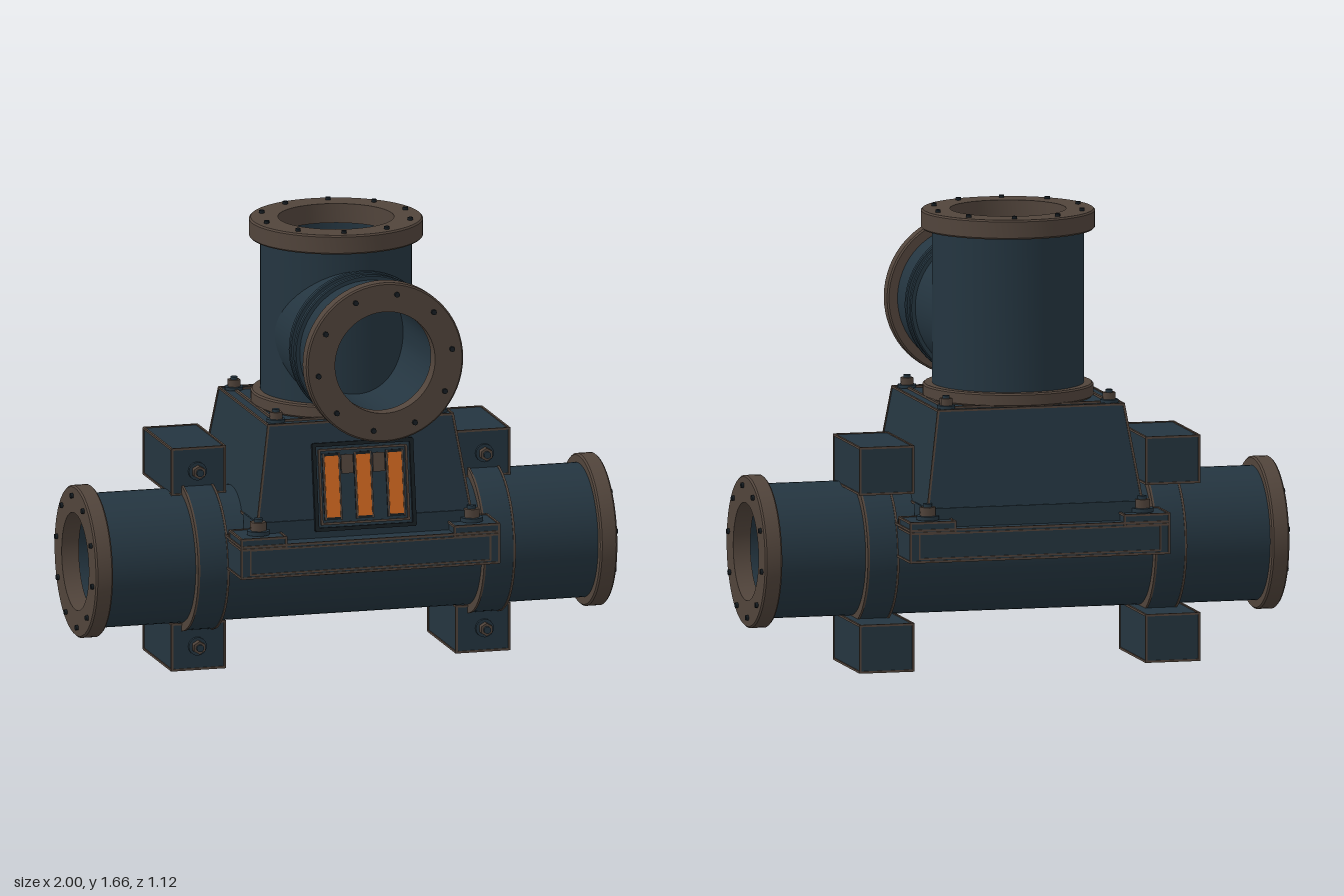
import * as THREE from 'three';
import { toCreasedNormals } from 'three/addons/utils/BufferGeometryUtils.js';

const paint = (name, color) => Object.assign(new THREE.MeshStandardMaterial({ color }), { name });

export function createModel() {
  const teal = paint('dark teal steel', 0x243540);
  const brown = paint('worn brown metal', 0x51443b);
  const dark = paint('dark recess', 0x161d22);
  const orange = paint('orange glow', 0xd06820);
  const root = new THREE.Group();
  root.name = 'pipeJunction';
  const Z0 = -0.1; // shared depth of the main pipe and the riser

  const add = (parent, name, geo, mat, x = 0, y = 0, z = 0) => {
    const m = new THREE.Mesh(geo, mat);
    m.name = name;
    m.position.set(x, y, z);
    parent.add(m);
    return m;
  };
  const group = (name, parent = root) => {
    const g = new THREE.Group();
    g.name = name;
    parent.add(g);
    return g;
  };
  const box = (parent, name, w, h, d, mat, x, y, z) =>
    add(parent, name, new THREE.BoxGeometry(w, h, d), mat, x, y, z);

  // hollow ring along an axis, from a to b, with chamfer c
  const ring = (ro, ri, a, b, axis = 'y', c = 0) => {
    const pts = c
      ? [[ri, a], [ro - c, a], [ro, a + c], [ro, b - c], [ro - c, b], [ri, b], [ri, a]]
      : [[ri, a], [ro, a], [ro, b], [ri, b], [ri, a]];
    const g = new THREE.LatheGeometry(pts.map(p => new THREE.Vector2(...p)), 64);
    if (axis === 'x') g.rotateZ(-Math.PI / 2);
    if (axis === 'z') g.rotateX(Math.PI / 2);
    return g;
  };
  const smooth = g => toCreasedNormals(g, 0.6);

  // thin strip between two points
  const strip = (parent, a, b, t = 0.008, mat = brown) => {
    const p = new THREE.Vector3(...a), q = new THREE.Vector3(...b);
    const m = box(parent, 'edgeTrim', t, p.distanceTo(q) + t * 0.5, t, mat, 0, 0, 0);
    m.position.copy(p).add(q).multiplyScalar(0.5);
    m.quaternion.setFromUnitVectors(new THREE.Vector3(0, 1, 0), q.sub(p).normalize());
  };

  // block with separate bottom and top rectangles [x0, x1, z0, z1] and worn edges
  const block = (parent, name, lo, y0, y1, hi = lo) => {
    const corner = (i, j, k) => {
      const r = j ? hi : lo;
      return [r[i], j ? y1 : y0, r[2 + k]];
    };
    const geo = new THREE.BoxGeometry(1, 1, 1), p = geo.attributes.position;
    for (let n = 0; n < p.count; n++) {
      p.setXYZ(n, ...corner(+(p.getX(n) > 0), +(p.getY(n) > 0), +(p.getZ(n) > 0)));
    }
    geo.computeVertexNormals();
    const g = group(name, parent);
    add(g, name + 'Body', geo, teal);
    for (const a of [0, 1]) for (const b of [0, 1]) {
      strip(g, corner(0, a, b), corner(1, a, b));
      strip(g, corner(a, 0, b), corner(a, 1, b));
      strip(g, corner(a, b, 0), corner(a, b, 1));
    }
  };

  // hexagonal bolt on a round washer
  const bolt = (parent, x, y, z, r, axis = 'y') => {
    const g = group('bolt', parent);
    add(g, 'washer', new THREE.CylinderGeometry(r, r, r * 0.35, 16), teal, 0, r * 0.17, 0);
    add(g, 'boltHead', new THREE.CylinderGeometry(r * 0.72, r * 0.72, r * 0.8, 6), brown, 0, r * 0.7, 0);
    add(g, 'boltTip', new THREE.CylinderGeometry(r * 0.4, r * 0.4, r * 0.4, 12), teal, 0, r * 1.2, 0);
    g.position.set(x, y, z);
    if (axis === 'z') g.rotation.x = Math.PI / 2;
  };

  // flange with ten studs, built along y and then turned to its axis
  const flange = (name, ro, ri, depth, turn, pos) => {
    const g = group(name);
    add(g, 'flangeRing', smooth(ring(ro, ri, 0, depth, 'y', 0.006)), brown);
    const rb = (ro + ri) / 2 + 0.012;
    for (let i = 0; i < 10; i++) {
      const a = (8 + 36 * i) * Math.PI / 180;
      add(g, 'stud', new THREE.CylinderGeometry(0.01, 0.01, 0.02, 8), dark,
        Math.cos(a) * rb, depth, -Math.sin(a) * rb);
    }
    g.rotation.set(...turn);
    g.position.set(...pos);
  };

  // main horizontal pipe
  add(root, 'mainPipe', smooth(ring(0.247, 0.186, -0.94, 0.94, 'x')), teal, 0, 0.42, Z0);
  for (const s of [-1, 1]) {
    flange('mainPipeFlange', 0.28, 0.18, 0.065, [0, 0, -s * Math.PI / 2], [s * 0.925, 0.42, Z0]);

    // clamp band with brown rims
    const clamp = group('clamp');
    add(clamp, 'clampBand', smooth(ring(0.276, 0.24, -0.056, 0.056, 'x')), teal, s * 0.543, 0.42, Z0);
    for (const d of [-0.056, 0.056]) {
      add(clamp, 'clampRim', smooth(ring(0.279, 0.24, -0.004, 0.004, 'x')), brown, s * (0.543 + d), 0.42, Z0);
    }
    // upper and lower mounting blocks
    const xs = s > 0 ? [0.44, 0.64] : [-0.64, -0.44];
    for (const [y0, y1] of [[0.004, 0.175], [0.66, 0.83]]) {
      block(clamp, 'mountBlock', [...xs, -0.41, -0.04], y0, y1);
      bolt(clamp, s * 0.545, (y0 + y1) / 2, -0.04, 0.034, 'z');
    }
  }

  // housing above the main pipe
  block(root, 'housing', [-0.405, 0.405, -0.485, 0.275], 0.605, 0.96, [-0.35, 0.35, -0.427, 0.225]);
  box(root, 'frontSkirt', 0.82, 0.09, 0.175, teal, 0, 0.565, 0.1925);
  box(root, 'backSkirt', 0.82, 0.09, 0.175, teal, 0, 0.565, -0.4025);

  // base bars with raised corner pads, bolts and an outlined panel
  for (const s of [1, -1]) {
    const z = d => Z0 + s * d; // distance out from the pipe axis
    const span = (a, b) => [Math.min(z(a), z(b)), Math.max(z(a), z(b))];
    const g = group(s > 0 ? 'frontBaseBar' : 'backBaseBar');
    block(g, 'baseBar', [-0.488, 0.488, ...span(0.24, 0.456)], 0.424, 0.54);
    for (const m of [-1, 1]) {
      const xs = m > 0 ? [0.32, 0.488] : [-0.488, -0.32];
      block(g, 'cornerPad', [...xs, ...span(0.295, 0.456)], 0.53, 0.568);
      bolt(g, m * 0.405, 0.57, z(0.383), 0.042);
    }
    const zf = z(0.457);
    for (const y of [0.435, 0.527]) strip(g, [-0.455, y, zf], [0.455, y, zf], 0.006);
    for (const x of [-0.455, 0.455]) strip(g, [x, 0.435, zf], [x, 0.527, zf], 0.006);
  }

  // lamp below the front bar
  box(root, 'lampHousing', 0.33, 0.05, 0.1, teal, 0, 0.4, 0.12);
  box(root, 'lampStrip', 0.305, 0.026, 0.008, orange, 0, 0.403, 0.172);
  strip(root, [-0.165, 0.378, 0.17], [0.165, 0.378, 0.17], 0.006);

  // sloping front grille
  const grille = group('grille');
  grille.position.set(0, 0.725, 0.257);
  grille.rotation.x = -0.153;
  box(grille, 'grillePlate', 0.37, 0.31, 0.012, teal, 0, 0, 0.004);
  for (const [w, h, t] of [[0.185, 0.155, 0.014], [0.165, 0.135, 0.008]]) {
    const mat = t > 0.01 ? dark : brown;
    for (const s of [-1, 1]) {
      strip(grille, [-w, s * h, 0.014], [w, s * h, 0.014], t, mat);
      strip(grille, [s * w, -h, 0.014], [s * w, h, 0.014], t, mat);
    }
  }
  for (const x of [-0.12, 0, 0.12]) {
    box(grille, 'slotSurround', 0.068, 0.245, 0.006, dark, x, 0, 0.012);
    box(grille, 'glowingSlot', 0.052, 0.225, 0.006, orange, x, 0, 0.0145);
    for (const s of [-1, 1]) strip(grille, [x + s * 0.03, -0.12, 0.014], [x + s * 0.03, 0.12, 0.014], 0.006);
  }
  for (const x of [-0.06, 0.06]) box(grille, 'slotSpacer', 0.045, 0.07, 0.008, brown, x, 0.08, 0.012);

  // vertical riser with closed floor
  add(root, 'riser', smooth(ring(0.277, 0.22, 0.96, 1.6)), teal, 0, 0, Z0);
  add(root, 'riserFloor', new THREE.CylinderGeometry(0.24, 0.24, 0.03, 48), teal, 0, 0.985, Z0);
  add(root, 'riserFoot', smooth(ring(0.312, 0.25, 0.96, 1.01, 'y', 0.006)), brown, 0, 0, Z0);
  flange('riserFlange', 0.318, 0.212, 0.072, [0, 0, 0], [0, 1.578, Z0]);
  for (const x of [-0.308, 0.308]) {
    for (const z of [0.178, -0.378]) bolt(root, x, 0.962, z, 0.034);
    strip(root, [x, 0.963, 0.178], [x, 0.963, -0.378], 0.01);
  }
  for (const z of [0.178, -0.378]) strip(root, [-0.308, 0.963, z], [0.308, 0.963, z], 0.01);

  // front branch, its inner end cut to the curve of the riser
  const branch = ring(0.26, 0.2, 0, 0.51, 'z');
  const p = branch.attributes.position;
  for (let i = 0; i < p.count; i++) {
    if (p.getZ(i) < 0.1) p.setZ(i, Z0 + Math.sqrt(0.272 ** 2 - p.getX(i) ** 2));
  }
  add(root, 'branchPipe', smooth(branch), teal, 0, 1.245, 0);
  for (const z of [0.24, 0.302]) {
    add(root, 'branchBand', smooth(ring(0.278, 0.25, z, z + 0.026, 'z', 0.004)), teal, 0, 1.245, 0);
  }
  flange('branchFlange', 0.298, 0.19, 0.058, [Math.PI / 2, 0, 0], [0, 1.245, 0.493]);

  return root;
}
